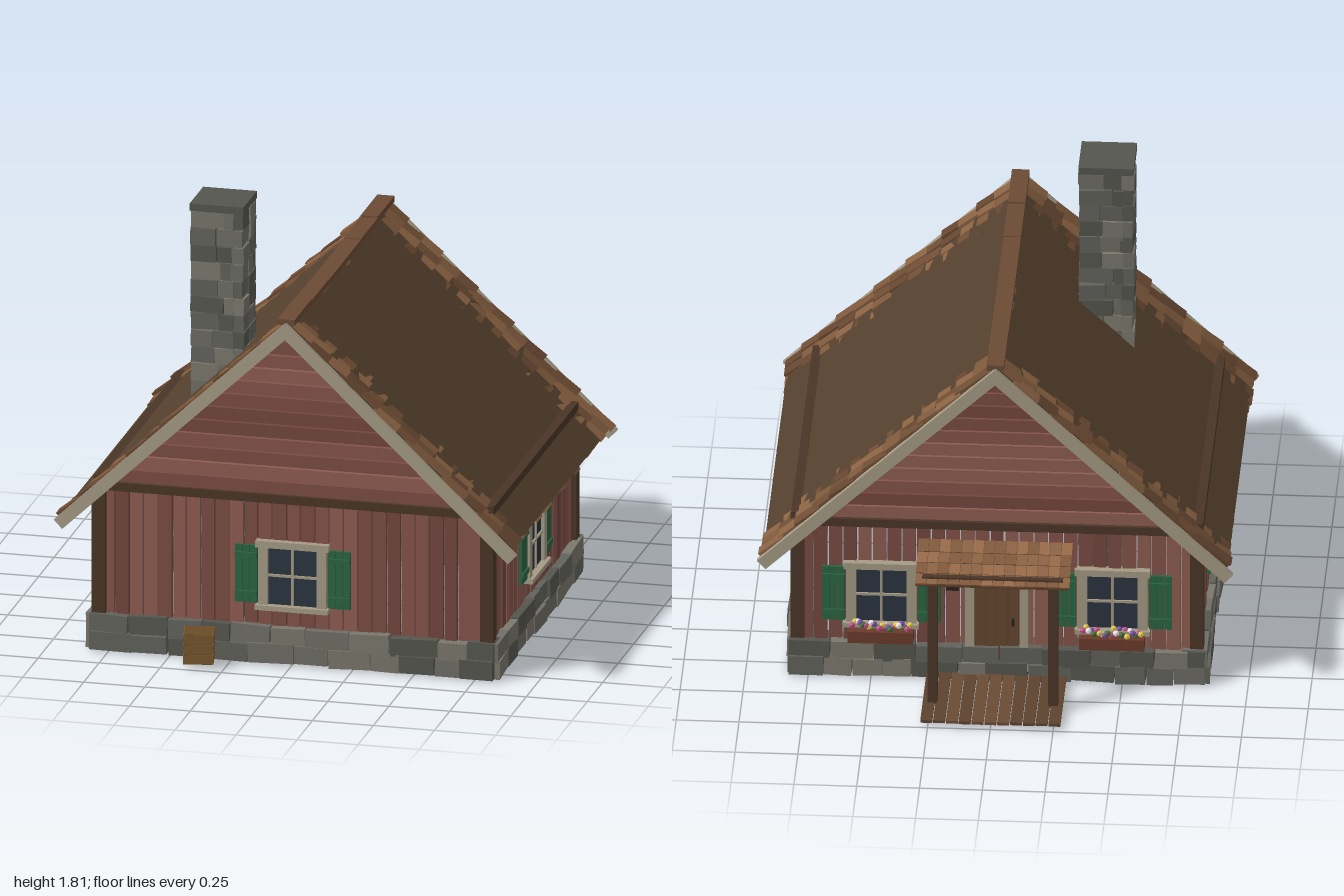
import * as THREE from 'three';

const WOOD = 0x4a3526, CREAM = 0xa59b84, GREEN = 0x2a6442, GLASS = 0x2a3440;
const REDS = [0x84544a, 0x7a4c43, 0x8e5c51, 0x74463e];
const STONES = [0x62625c, 0x6f6d65, 0x56564f, 0x7a776c];
const SHINGLES = [0x6f4d34, 0x7d583b, 0x644530, 0x8a6242];
const MID_Z = 0.125, SLOPE = 0.947, ANGLE = Math.atan(SLOPE);

// Small seeded generator for the hand-built irregularity
let seed = 7;
const rnd = (a = 0, b = 1) => {
  seed = (seed * 16807) % 2147483647;
  return a + (b - a) * (seed / 2147483647);
};
const pick = list => list[Math.floor(rnd(0, list.length - 0.001))];

const mats = new Map();
const mat = color => {
  if (!mats.has(color)) mats.set(color, new THREE.MeshStandardMaterial({ color, flatShading: true }));
  return mats.get(color);
};
const unitBox = new THREE.BoxGeometry(1, 1, 1);

function box(parent, name, [w, h, d], [x, y, z], color) {
  const m = new THREE.Mesh(unitBox, mat(color));
  m.name = name;
  m.scale.set(w, h, d);
  m.position.set(x, y, z);
  parent.add(m);
  return m;
}
function group(parent, name, x = 0, y = 0, z = 0, rotY = 0) {
  const g = new THREE.Group();
  g.name = name;
  g.position.set(x, y, z);
  g.rotation.y = rotY;
  parent.add(g);
  return g;
}

// Window with frame, glazing bars and shutters; outward is +z
function addWindow(wall, x) {
  const w = group(wall, 'window', x, 0.365, 0);
  box(w, 'glass', [0.2, 0.25, 0.04], [0, 0, 0], GLASS);
  box(w, 'glazingBar', [0.01, 0.24, 0.012], [0, 0, 0.022], CREAM);
  box(w, 'glazingBar', [0.2, 0.01, 0.012], [0, 0, 0.022], CREAM);
  box(w, 'windowHead', [0.3, 0.028, 0.04], [0, 0.13, 0.018], CREAM);
  box(w, 'windowSill', [0.3, 0.02, 0.06], [0, -0.132, 0.02], CREAM);
  for (const s of [-1, 1]) {
    box(w, 'windowJamb', [0.04, 0.25, 0.04], [s * 0.12, 0, 0.015], CREAM);
    for (let i = 0; i < 3; i++)
      box(w, 'shutterBoard', [0.029, 0.24, 0.014], [s * (0.16 + i * 0.031), 0, 0.02], GREEN);
    for (const y of [-0.08, 0.08])
      box(w, 'shutterBatten', [0.09, 0.02, 0.01], [s * 0.19, y, 0.03], GREEN);
  }
}

function addFlowerBox(wall, x) {
  const f = group(wall, 'flowerBox', x, 0.2, 0.055);
  box(f, 'planter', [0.26, 0.05, 0.065], [0, 0, 0], 0x6b3b2c);
  const bloom = new THREE.IcosahedronGeometry(0.014, 0);
  for (let i = 0; i < 22; i++) {
    const color = [0xc04a86, 0xd8c24a, 0xe6e0e0, 0x7a4aa0, 0x3c6a34][i % 5];
    const m = new THREE.Mesh(bloom, mat(color));
    m.name = 'flower';
    m.position.set(-0.115 + i * 0.011, rnd(0.028, 0.052), rnd(-0.022, 0.022));
    f.add(m);
  }
}

// One wall: upright planks above two courses of loose stones
function addWall(root, name, x, z, rotY, length, windows) {
  const wall = group(root, name, x, 0, z, rotY);
  const n = Math.round(length / 0.058), step = length / n;
  for (let i = 0; i < n; i++) {
    const bottom = rnd(0.09, 0.14);
    box(wall, 'wallPlank', [step - rnd(0.002, 0.009), 0.67 - bottom, 0.02],
      [-length / 2 + (i + 0.5) * step, (0.67 + bottom) / 2, rnd(-0.005, 0.005)], pick(REDS));
  }
  [0.043, 0.113].forEach((y, row) => {
    const end = length / 2 + 0.04;
    for (let p = -end; p < end - 0.01;) {
      let w = rnd(0.1, 0.2);
      if (end - p - w < 0.07) w = end - p;
      const s = box(wall, 'foundationStone', [w - 0.004, rnd(0.07, 0.082), rnd(0.085, 0.105)],
        [p + w / 2, y + rnd(-0.003, 0.003), rnd(-0.005, 0.005) - row * 0.004], pick(STONES));
      s.rotation.set(rnd(-0.04, 0.04), rnd(-0.05, 0.05), rnd(-0.03, 0.03));
      p += w;
    }
  });
  windows.forEach(wx => addWindow(wall, wx));
  return wall;
}

// Horizontal boards narrowing to the ridge
function addGable(root, z) {
  const g = group(root, 'gable', 0, 0, z);
  box(g, 'gableBeam', [1.62, 0.035, 0.05], [0, 0.685, 0], WOOD);
  for (let y = 0.702; y < 1.38; y += 0.0585) {
    const a = (1.425 - y) / SLOPE, b = (1.425 - y - 0.052) / SLOPE;
    const shape = new THREE.Shape([[-a, y], [a, y], [b, y + 0.052], [-b, y + 0.052]].map(p => new THREE.Vector2(...p)));
    const m = new THREE.Mesh(new THREE.ExtrudeGeometry(shape, { depth: 0.02, bevelEnabled: false }), mat(pick(REDS)));
    m.name = 'gableBoard';
    m.position.z = -0.01;
    g.add(m);
  }
}

// One roof slope; shingles sag towards the middle and sink into the deck
function addSlope(root, rotY) {
  const outer = group(root, 'roofSlope', 0, 1.455, MID_Z, rotY);
  const g = group(outer, 'roofPlane');
  g.rotation.z = -ANGLE;
  box(g, 'roofDeck', [1.27, 0.03, 1.6], [0.635, -0.012, 0], 0x54402d);
  const rows = 13, cols = 26;
  for (let r = 0; r < rows; r++) for (let c = 0; c < cols; c++) {
    const z = -0.8 + (c + 0.5) * 1.6 / cols + (r % 2 ? 0.012 : -0.012);
    const sag = 0.045 * (1 - (z / 0.81) ** 2);
    const s = box(g, 'shingle', [0.125, 0.012, 0.058],
      [0.06 + r * 0.096 + rnd(-0.01, 0.01), 0.012 - sag + rnd(-0.003, 0.003), z], pick(SHINGLES));
    s.rotation.z = 0.09 + rnd(-0.03, 0.03);
    s.rotation.x = rnd(-0.04, 0.04);
  }
  for (const s of [-1, 1])
    box(g, 'bargeBoard', [1.3, 0.05, 0.022], [0.648, -0.018, s * 0.818], CREAM);
}

function addChimney(root) {
  const g = group(root, 'chimney', -0.375, 0, 0.47);
  box(g, 'chimneyCore', [0.17, 1.77, 0.17], [0, 0.89, 0], 0x4b4b46);
  for (let r = 0; r < 25; r++) for (let k = 0; k < 4; k++) {
    const side = group(g, 'chimneyCourse', 0, 0.04 + r * 0.071, 0, k * Math.PI / 2);
    const split = rnd(-0.03, 0.03);
    for (const [a, b] of [[-0.108, split], [split, 0.07]]) {
      const s = box(side, 'chimneyStone', [b - a - 0.003, rnd(0.064, 0.072), 0.05],
        [(a + b) / 2, 0, 0.083 + rnd(-0.006, 0.006)], pick(STONES));
      s.rotation.set(rnd(-0.05, 0.05), rnd(-0.05, 0.05), rnd(-0.04, 0.04));
    }
  }
  box(g, 'chimneyCap', [0.22, 0.03, 0.22], [0, 1.793, 0], 0x55554f);
}

// Door, deck, posts and lean-to roof; outward is +z
function addPorch(wall) {
  const g = group(wall, 'porch');
  box(g, 'door', [0.18, 0.46, 0.035], [0, 0.27, 0], 0x5a3d2a);
  for (let i = 0; i < 4; i++)
    box(g, 'doorBoard', [0.041, 0.45, 0.01], [-0.066 + i * 0.044, 0.27, 0.021], 0x66462f);
  box(g, 'doorHead', [0.26, 0.035, 0.045], [0, 0.515, 0.015], CREAM);
  for (const s of [-1, 1]) {
    box(g, 'doorJamb', [0.035, 0.46, 0.045], [s * 0.108, 0.27, 0.015], CREAM);
    box(g, 'porchPost', [0.04, 0.55, 0.04], [s * 0.24, 0.3, 0.275], WOOD);
  }
  box(g, 'doorHandle', [0.012, 0.03, 0.02], [0.065, 0.26, 0.03], 0x222222);
  for (let i = 0; i < 11; i++)
    box(g, 'deckPlank', [0.047, 0.012, 0.4], [-0.255 + i * 0.051, 0.025, 0.243 + rnd(-0.003, 0.003)], pick([0x6a4c34, 0x5d432e]));
  box(g, 'porchBeam', [0.56, 0.04, 0.035], [0, 0.58, 0.28], WOOD);
  const roof = group(g, 'porchRoof', 0, 0.61, 0.205);
  roof.rotation.x = 0.35;
  box(roof, 'porchRoofDeck', [0.61, 0.012, 0.23], [0, 0, 0], 0x6f4d34);
  for (let r = 0; r < 4; r++) for (let c = 0; c < 14; c++) {
    const s = box(roof, 'porchShingle', [0.042, 0.008, 0.07],
      [-0.286 + c * 0.044, 0.011, -0.085 + r * 0.057], pick([0x8a5f3f, 0x946846, 0x7f5638]));
    s.rotation.x = -0.06;
  }
  box(g, 'lanternArm', [0.012, 0.012, 0.12], [-0.17, 0.525, 0.06], 0x222222);
  box(g, 'lantern', [0.05, 0.065, 0.05], [-0.17, 0.487, 0.115], 0x26221f);
}

function addCrate(root) {
  const g = group(root, 'crate', -0.36, 0.08, 0.925, 0.2);
  box(g, 'crateBody', [0.112, 0.125, 0.112], [0, 0, 0], 0x6b4d28);
  for (const y of [-0.042, 0, 0.042])
    box(g, 'crateSlat', [0.122, 0.036, 0.122], [0, y, 0], 0x7a5930);
}

export function createModel() {
  const root = new THREE.Group();
  root.name = 'cottage';
  addWall(root, 'frontWall', 0, 0.805, 0, 1.58, [0]);
  addWall(root, 'leftWall', 0.795, MID_Z, Math.PI / 2, 1.34, [0]);
  addWall(root, 'rightWall', -0.795, MID_Z, -Math.PI / 2, 1.34, [0]);
  const back = addWall(root, 'backWall', 0, -0.555, Math.PI, 1.58, [-0.46, 0.46]);
  for (const x of [-0.46, 0.46]) addFlowerBox(back, x);
  addPorch(back);
  for (const x of [-0.795, 0.795]) {
    for (const z of [0.805, -0.545])
      box(root, 'cornerPost', [0.055, 0.58, 0.055], [x, 0.39, z], WOOD);
    box(root, 'wallPlate', [0.05, 0.045, 1.38], [x, 0.695, MID_Z], WOOD);
  }
  addGable(root, 0.81);
  addGable(root, -0.555);
  addSlope(root, 0);
  addSlope(root, Math.PI);
  // Ridge caps, a little lower in the middle
  for (let i = 0; i < 6; i++) {
    const z = -0.675 + i * 0.27;
    box(root, 'ridgeCap', [0.07, 0.024, 0.272], [0, 1.468 - 0.014 * (1 - (z / 0.8) ** 2), MID_Z + z], 0x6b4a34);
  }
  addChimney(root);
  addCrate(root);
  return root;
}
